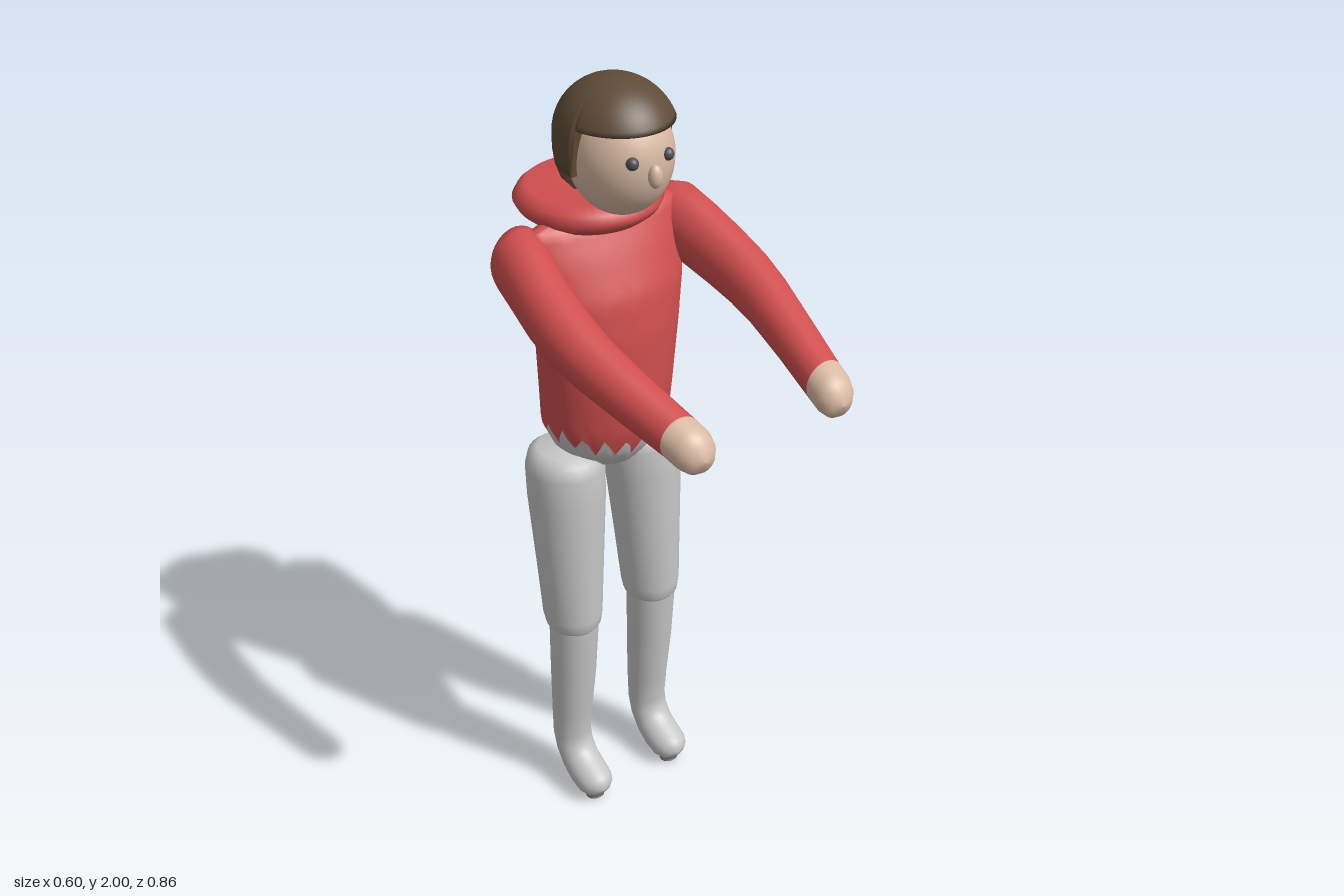
import * as THREE from 'three';

const mat = (name, color, side = THREE.FrontSide) => {
  const m = new THREE.MeshStandardMaterial({ color, side });
  m.name = name;
  return m;
};

// Skin a grid of rings; point(i, j) gives a Vector3, rings wrap round in j
function skin(rows, cols, point) {
  const pos = [], idx = [];
  for (let i = 0; i <= rows; i++)
    for (let j = 0; j < cols; j++) pos.push(...point(i, j).toArray());
  for (let i = 0; i < rows; i++)
    for (let j = 0; j < cols; j++) {
      const k = (j + 1) % cols;
      const a = i * cols + j, b = i * cols + k, c = a + cols, d = b + cols;
      idx.push(a, b, c, b, d, c);
    }
  const g = new THREE.BufferGeometry();
  g.setAttribute('position', new THREE.Float32BufferAttribute(pos, 3));
  g.setIndex(idx);
  g.computeVertexNormals();
  return g;
}

// Limb from elliptical sections [x, y, z, rx, r, tilt]; tilt 0 faces +z, 90 faces down
const limb = (sections, side) => skin(sections.length - 1, 28, (i, j) => {
  const [x, y, z, rx, r, tilt = 0] = sections[i];
  const t = j / 28 * Math.PI * 2, a = tilt * Math.PI / 180;
  const v = r * Math.sin(t);
  return new THREE.Vector3(side * x + rx * Math.cos(t), y + v * Math.cos(a), z + v * Math.sin(a));
});

// Torso sections, top down: [y, front z, back z, half width]
const TORSO = [
  [1.69, -0.19, -0.22, 0.10], [1.675, -0.165, -0.245, 0.19], [1.6, -0.125, -0.27, 0.2],
  [1.5, -0.08, -0.30, 0.195], [1.4, -0.066, -0.318, 0.182], [1.25, -0.065, -0.338, 0.168],
  [1.15, -0.075, -0.342, 0.162], [1.09, -0.095, -0.325, 0.135],
  [1.04, -0.13, -0.29, 0.08], [1.0, -0.2, -0.22, 0.005],
];
function torsoPoint(y, t) {
  let k = 0;
  while (k < TORSO.length - 2 && y < TORSO[k + 1][0]) k++;
  const A = TORSO[k], B = TORSO[k + 1];
  const f = (A[0] - y) / (A[0] - B[0]);
  const [front, back, w] = [1, 2, 3].map(n => A[n] + (B[n] - A[n]) * f);
  return new THREE.Vector3(w * Math.cos(t), y, (front + back) / 2 + (front - back) / 2 * Math.sin(t));
}
// Jagged hem, lower at front and back than at the sides
const hem = (t, j) =>
  1.15 - 0.04 * Math.sin(t) ** 2 + [0.025, -0.005, -0.03, 0.005][j % 4] * (j % 8 < 4 ? 1 : 0.7);

// Hair shell: a rounded cap whose lower edge steps down from fringe to nape
function hairGeometry() {
  const rows = 16, cols = 120;
  return skin(rows + 1, cols, (i, j) => {
    const t = j / cols * Math.PI * 2, c = Math.sin(t);
    const low = c > 0.2 ? 1.915 : c > -0.31 ? 1.81 : 1.752;
    const phi = Math.min(i, rows) / rows;
    const y = 2.0 - (2.0 - low) * phi * phi;
    const d = y - 1.87;
    const r = d > 0 ? Math.sqrt(Math.max(0, 1 - (d / 0.13) ** 2))
      : Math.pow(1 - Math.pow(-d / 0.135, 3), 1 / 3);
    const s = r * (i > rows ? 0.75 : 1);
    return new THREE.Vector3(0.132 * s * Math.cos(t), y, -0.147 + 0.147 * s * c);
  });
}

export function createModel() {
  const model = new THREE.Group();
  model.name = 'figure';
  const red = mat('red fabric', 0xd04e4e, THREE.DoubleSide);
  const grey = mat('grey cloth', 0xc6c6c6, THREE.DoubleSide);
  const flesh = mat('skin', 0xd9b9a2);
  const brown = mat('brown hair', 0x5f4b37, THREE.DoubleSide);
  const dark = mat('dark grey', 0x505054);

  const add = (name, geometry, material) => {
    const m = new THREE.Mesh(geometry, material);
    m.name = name;
    model.add(m);
    return m;
  };
  const ball = (name, material, x, y, z, rx, ry, rz) => {
    const m = add(name, new THREE.SphereGeometry(1, 32, 24), material);
    m.position.set(x, y, z);
    m.scale.set(rx, ry, rz);
  };

  // Head and face
  ball('head', flesh, 0, 1.835, -0.13, 0.115, 0.135, 0.122);
  ball('nose', flesh, 0, 1.825, -0.002, 0.016, 0.026, 0.015);
  add('hair', hairGeometry(), brown);

  // Sweater body down to the jagged hem, then the hips below it
  const cols = 72, angle = j => j / cols * Math.PI * 2;
  add('sweater', skin(24, cols, (i, j) => {
    const t = angle(j);
    return torsoPoint(1.69 + (hem(t, j) - 1.69) * i / 24, t);
  }), red);
  add('hips', skin(10, cols, (i, j) => {
    const t = angle(j), h = hem(t, j);
    return torsoPoint(h + (1.0 - h) * i / 10, t);
  }), grey);

  // Flat rolled hood resting behind the neck
  const hoodProfile = [[0, 1.655], [0.07, 1.655], [0.14, 1.656], [0.16, 1.672], [0.17, 1.69],
    [0.16, 1.708], [0.14, 1.724], [0.07, 1.716], [0, 1.71]];
  const hood = add('hood', new THREE.LatheGeometry(hoodProfile.map(p => new THREE.Vector2(...p)), 48), red);
  hood.position.z = -0.26;

  for (const s of [1, -1]) {
    const side = s > 0 ? 'left' : 'right';
    ball(side + 'Eye', dark, s * 0.045, 1.858, -0.021, 0.014, 0.014, 0.014);

    // Sleeve reaching forward, with a rounded hand
    add(side + 'Sleeve', limb([
      [0.17, 1.58, -0.30, 0, 0], [0.175, 1.58, -0.29, 0.045, 0.05], [0.2, 1.592, -0.245, 0.068, 0.08],
      [0.21, 1.595, -0.21, 0.07, 0.085], [0.222, 1.575, -0.14, 0.066, 0.083], [0.233, 1.55, -0.06, 0.065, 0.077],
      [0.237, 1.528, 0.02, 0.063, 0.071], [0.233, 1.505, 0.1, 0.059, 0.065],
      [0.214, 1.472, 0.22, 0.054, 0.056], [0.19, 1.437, 0.35, 0.05, 0.049],
    ], s), red);
    add(side + 'Hand', limb([
      [0.19, 1.437, 0.35, 0.05, 0.049], [0.185, 1.427, 0.385, 0.049, 0.049], [0.183, 1.421, 0.405, 0.042, 0.043],
      [0.182, 1.417, 0.42, 0.028, 0.028], [0.182, 1.416, 0.428, 0, 0],
    ], s), flesh);

    // Thigh with rounded ends
    add(side + 'Thigh', limb([
      [0.112, 1.085, -0.225, 0, 0, 90], [0.112, 1.08, -0.225, 0.065, 0.065, 90],
      [0.112, 1.065, -0.222, 0.088, 0.088, 90], [0.112, 1.03, -0.22, 0.097, 0.098, 90],
      [0.113, 0.95, -0.217, 0.096, 0.097, 90], [0.117, 0.75, -0.205, 0.084, 0.085, 90],
      [0.12, 0.6, -0.197, 0.075, 0.078, 90], [0.12, 0.57, -0.195, 0.07, 0.073, 90],
      [0.12, 0.553, -0.194, 0.058, 0.06, 90], [0.12, 0.55, -0.194, 0, 0, 90],
    ], s), grey);

    // Shin curving forward into the foot
    add(side + 'Shin', limb([
      [0.12, 0.57, -0.192, 0.064, 0.063, 90], [0.121, 0.4, -0.202, 0.06, 0.059, 90],
      [0.122, 0.25, -0.214, 0.054, 0.052, 90], [0.123, 0.17, -0.218, 0.051, 0.048, 85],
      [0.123, 0.125, -0.207, 0.05, 0.049, 62], [0.123, 0.09, -0.182, 0.05, 0.049, 40],
      [0.123, 0.068, -0.145, 0.051, 0.049, 28], [0.123, 0.057, -0.11, 0.049, 0.046, 22],
      [0.123, 0.053, -0.088, 0.04, 0.038, 18], [0.123, 0.051, -0.074, 0.024, 0.022, 18],
      [0.123, 0.05, -0.068, 0, 0, 18],
    ], s), grey);

    // Thin dark patch under the toe
    ball(side + 'Sole', dark, s * 0.123, 0.009, -0.112, 0.026, 0.004, 0.022);
  }
  return model;
}
